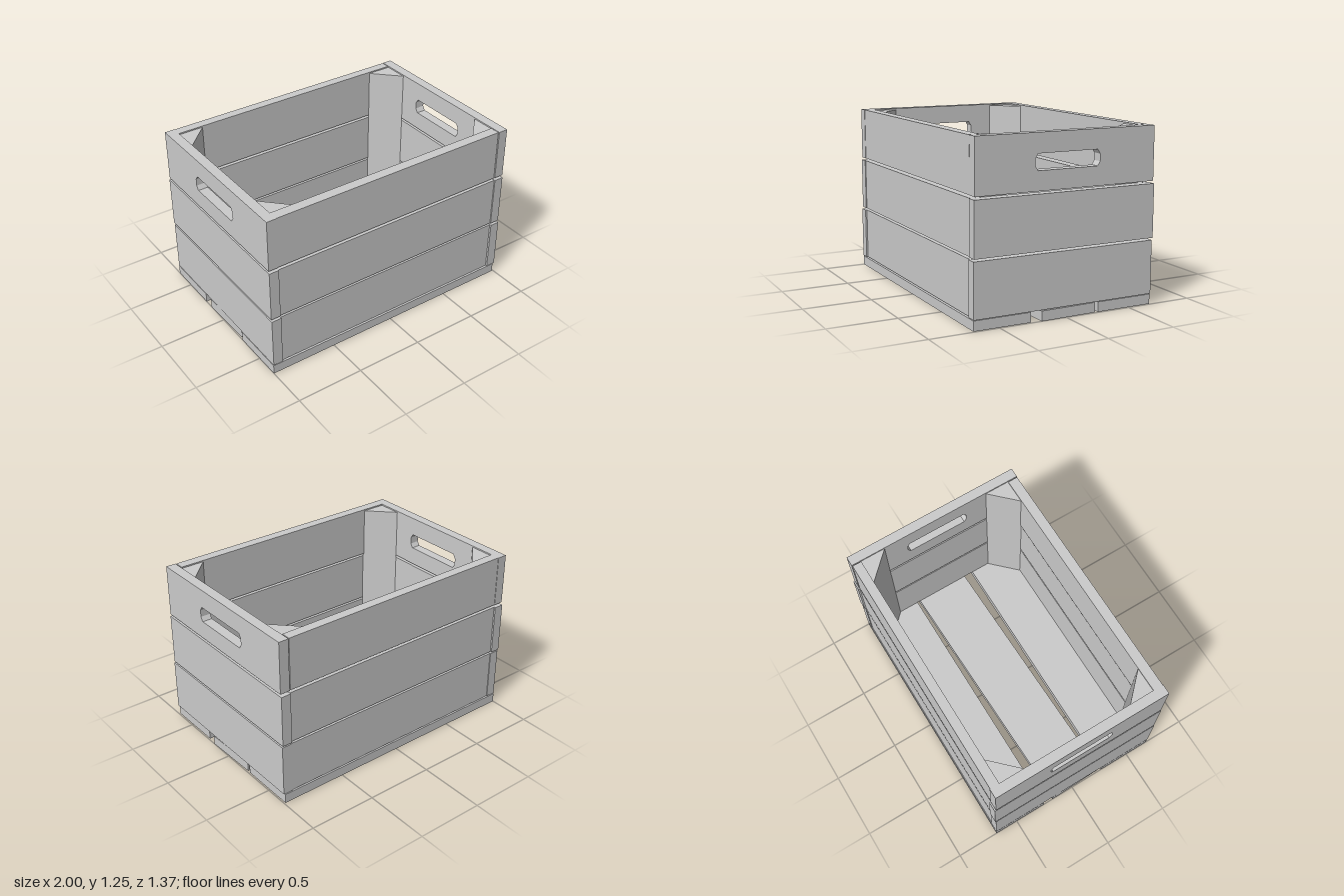
import * as THREE from 'three';

const material = new THREE.MeshStandardMaterial({ color: 0xcccccc, flatShading: true });

export function createModel() {
  const crate = new THREE.Group();
  crate.name = 'crate';

  function add(name, geometry) {
    const mesh = new THREE.Mesh(geometry, material);
    mesh.name = name;
    crate.add(mesh);
    return mesh;
  }

  // Board given by its extents along each axis
  function board(name, [x0, x1], [y0, y1], [z0, z1]) {
    const mesh = add(name, new THREE.BoxGeometry(x1 - x0, y1 - y0, z1 - z0));
    mesh.position.set((x0 + x1) / 2, (y0 + y1) / 2, (z0 + z1) / 2);
    return mesh;
  }

  const polygon = (points, Type = THREE.Shape) =>
    new Type(points.map(([x, y]) => new THREE.Vector2(x, y)));

  // Floor slats, the middle one nailed on slightly askew
  board('floorSlatBack', [-1, 0.99], [0, 0.07], [-0.68, -0.255]);
  board('floorSlatFront', [-1, 0.99], [0, 0.07], [0.265, 0.685]);
  board('floorSlatMiddle', [-0.995, 0.995], [0, 0.07], [-0.205, 0.215]).rotation.y = 0.026;

  // Two lower rows of planks, each row shifted a little
  const rows = [
    { name: 'lower', y: [0.077, 0.457], z: [-0.679, 0.688] },
    { name: 'middle', y: [0.472, 0.851], z: [-0.686, 0.682] },
  ];
  for (const { name, y, z } of rows) {
    board(name + 'RightEnd', [-1, -0.927], y, z);
    board(name + 'LeftEnd', [0.927, 1], y, z);
    board(name + 'Front', [-0.927, 0.925], y, [0.605, 0.676]);
    board(name + 'Back', [-0.927, 0.925], y, [-0.674, -0.605]);
  }

  // Top row: plain long planks and end planks with handle slots
  const top = [0.87, 1.25];
  board('topFront', [-0.927, 0.92], top, [0.6, 0.674]);
  board('topBack', [-0.927, 0.92], top, [-0.674, -0.605]);

  const endShape = polygon([[-0.677, 0.87], [0.677, 0.87], [0.677, 1.25], [-0.677, 1.25]]);
  endShape.holes.push(polygon([
    [-0.225, 1.003], [-0.245, 1.033], [-0.245, 1.083], [-0.225, 1.114],
    [0.225, 1.114], [0.245, 1.083], [0.245, 1.033], [0.225, 1.003],
  ], THREE.Path));
  for (const [name, x] of [['topRightEnd', -1], ['topLeftEnd', 0.927]]) {
    const geometry = new THREE.ExtrudeGeometry(endShape, { depth: 0.073, bevelEnabled: false });
    geometry.rotateY(Math.PI / 2);
    add(name, geometry).position.x = x;
  }

  // Triangular corner posts
  for (const sx of [-1, 1]) {
    for (const sz of [-1, 1]) {
      const shape = polygon([
        [sx * 0.927, sz * 0.605], [sx * 0.74, sz * 0.605], [sx * 0.927, sz * 0.415],
      ]);
      const geometry = new THREE.ExtrudeGeometry(shape, { depth: 1.17, bevelEnabled: false });
      geometry.rotateX(Math.PI / 2);
      add((sz > 0 ? 'front' : 'back') + (sx > 0 ? 'Left' : 'Right') + 'Post', geometry)
        .position.y = 1.24;
    }
  }
  return crate;
}
